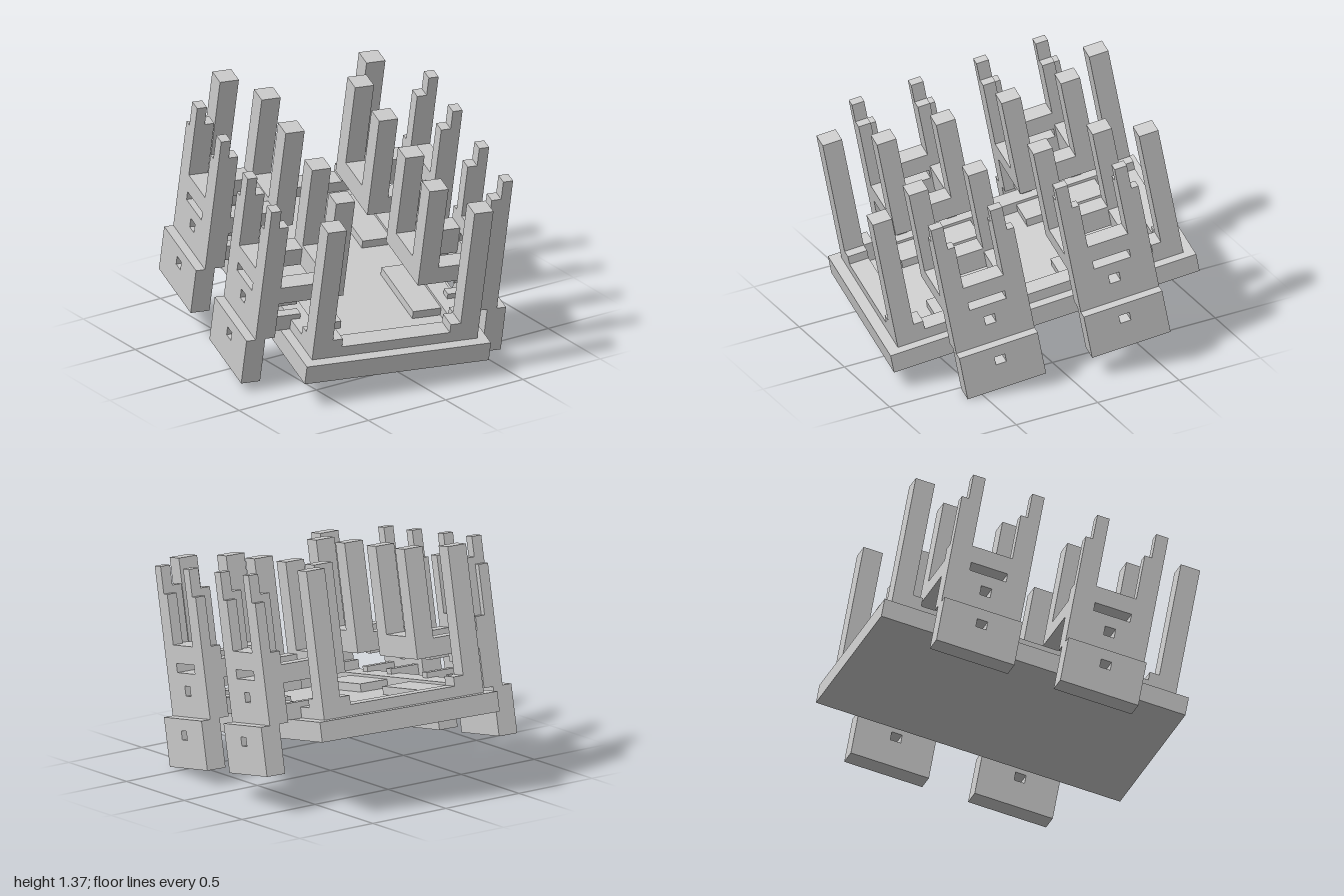
import * as THREE from 'three';

const mat = new THREE.MeshStandardMaterial({ color: 0xcccccc, flatShading: true });

export function createModel() {
  const model = new THREE.Group();
  const body = new THREE.Group();
  body.name = 'tiltedRuin';
  body.rotation.set(0.192, -0.192, 0);
  body.position.set(-0.028, 0, -0.005);
  model.add(body);

  // box from its limits on each axis
  function box(name, x0, x1, y0, y1, z0, z1) {
    const g = new THREE.BoxGeometry(Math.abs(x1 - x0), y1 - y0, z1 - z0);
    const m = new THREE.Mesh(g, mat);
    m.position.set((x0 + x1) / 2, (y0 + y1) / 2, (z0 + z1) / 2);
    m.name = name;
    body.add(m);
  }

  // upright wall across x, with rectangular openings [z0, z1, y0, y1]
  function wall(name, x0, x1, y0, y1, z0, z1, holes) {
    const rect = (P, a, b, c, d) => {
      const p = new P();
      p.moveTo(a, c); p.lineTo(b, c); p.lineTo(b, d); p.lineTo(a, d); p.closePath();
      return p;
    };
    const shape = rect(THREE.Shape, z0, z1, y0, y1);
    for (const h of holes) shape.holes.push(rect(THREE.Path, ...h));
    const g = new THREE.ExtrudeGeometry(shape, { depth: Math.abs(x1 - x0), bevelEnabled: false });
    g.rotateY(-Math.PI / 2);
    g.translate(Math.max(x0, x1), 0, 0);
    const m = new THREE.Mesh(g, mat);
    m.name = name;
    body.add(m);
  }

  // floor slab and low rim
  box('floorSlab', -0.5375, 0.5375, 0.28, 0.39, -0.985, 0.77);
  box('frontRim', -0.483, 0.483, 0.39, 0.45, 0.6, 0.71);
  box('backRim', -0.483, 0.483, 0.39, 0.45, -0.93, -0.82);

  for (const s of [-1, 1]) {
    const b = (name, x0, x1, ...r) => box(name, s * x0, s * x1, ...r);
    b('sideRim', 0.373, 0.483, 0.39, 0.45, -0.82, 0.6);

    // corner columns with small steps beside them
    b('frontCornerColumn', 0.373, 0.483, 0.39, 1.2, 0.6, 0.71);
    b('backCornerColumn', 0.373, 0.483, 0.39, 1.2, -0.93, -0.82);
    b('frontCornerStep', 0.315, 0.373, 0.45, 0.5, 0.6, 0.71);
    b('backCornerStep', 0.315, 0.373, 0.45, 0.5, -0.93, -0.82);
    b('frontSideStep', 0.373, 0.483, 0.45, 0.5, 0.545, 0.6);
    b('backSideStep', 0.373, 0.483, 0.45, 0.5, -0.82, -0.765);

    // two towers on each side
    for (const z of [0, -0.715]) {
      b('towerLedge', 0.21, 0.373, 0.39, 0.435, z, z + 0.45);
      wall('towerFoot', s * 0.648, s * 0.758, 0.115, 0.385, z, z + 0.45,
        [[z + 0.2, z + 0.26, 0.27, 0.32]]);
      wall('outerWall', s * 0.593, s * 0.705, 0.385, 0.775, z, z + 0.45, [
        [z + 0.12, z + 0.33, 0.625, 0.675],
        [z + 0.2, z + 0.26, 0.5, 0.555]]);

      // raised gallery ring
      b('galleryInnerBeam', 0.218, 0.328, 0.6, 0.72, z, z + 0.45);
      for (const [z0, z1] of [[z, z + 0.11], [z + 0.34, z + 0.45]]) {
        b('galleryCrossBeam', 0.328, 0.593, 0.6, 0.7, z0, z1);
        b('innerColumn', 0.218, 0.328, 0.72, 1.2, z0, z1);
        // stepped outer column
        b('outerColumn', 0.648, 0.705, 0.775, 1.05, z0, z1);
        b('outerColumnTip', 0.648, 0.705, 1.05, 1.2, z0 + 0.04, z1);
        b('outerColumnShoulder', 0.593, 0.648, 0.775, 1.09, z0 + 0.04, z1);
      }
      // brackets tying the wall to the floor and gallery
      for (const z0 of [z + 0.055, z + 0.34]) {
        b('upperBracket', 0.46, 0.593, 0.545, 0.6, z0, z0 + 0.055);
        b('lowerBracket', 0.43, 0.593, 0.39, 0.48, z0, z0 + 0.055);
      }
    }
  }
  return model;
}
